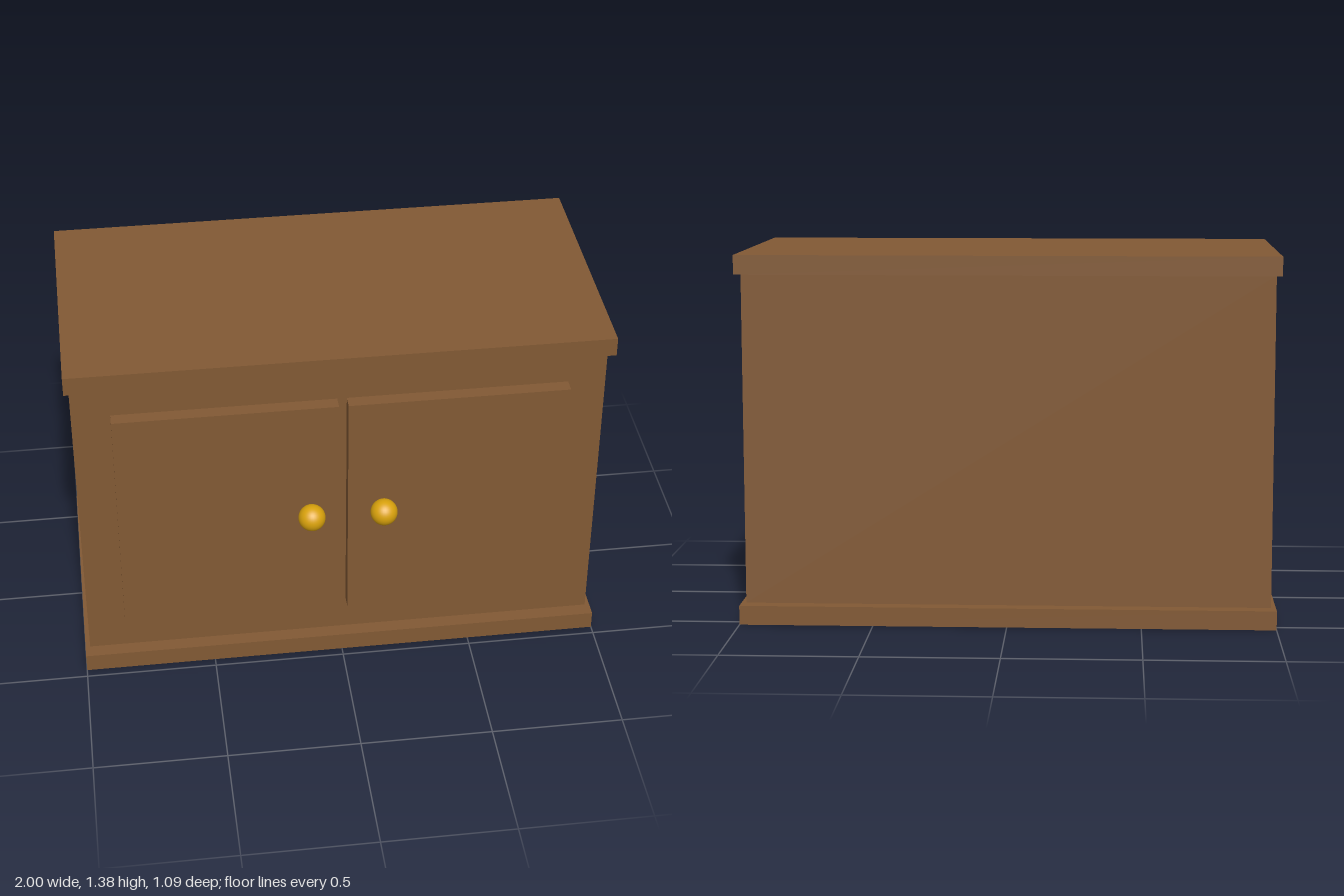
import * as THREE from 'three';

export function createModel() {
  const model = new THREE.Group();
  model.name = 'cabinet';
  const wood = new THREE.MeshStandardMaterial({ color: 0x825934 });
  wood.name = 'brown wood';
  const brass = new THREE.MeshStandardMaterial({ color: 0xd9a20c });
  brass.name = 'golden brass';

  // Box given by its lower and upper corner
  function box(name, [x0, y0, z0], [x1, y1, z1]) {
    const mesh = new THREE.Mesh(new THREE.BoxGeometry(x1 - x0, y1 - y0, z1 - z0), wood);
    mesh.position.set((x0 + x1) / 2, (y0 + y1) / 2, (z0 + z1) / 2);
    mesh.name = name;
    model.add(mesh);
  }

  // Carcass between two overhanging slabs
  box('basePlinth', [-1, 0, -0.545], [1, 0.072, 0.465]);
  box('body', [-0.982, 0.072, -0.49], [0.982, 1.31, 0.41]);
  box('topBoard', [-1, 1.31, -0.545], [1, 1.382, 0.465]);

  // Doors, each with a round knob near the central gap
  const doors = [
    { side: 'right', x0: -0.84, x1: -0.015, knobX: -0.12 },
    { side: 'left', x0: 0.02, x1: 0.842, knobX: 0.152 },
  ];
  for (const { side, x0, x1, knobX } of doors) {
    box(side + 'Door', [x0, 0.216, 0.4], [x1, 1.17, 0.462]);
    const knob = new THREE.Mesh(new THREE.SphereGeometry(0.051, 32, 20), brass);
    knob.position.set(knobX, 0.694, 0.495);
    knob.name = side + 'Knob';
    model.add(knob);
  }
  return model;
}
